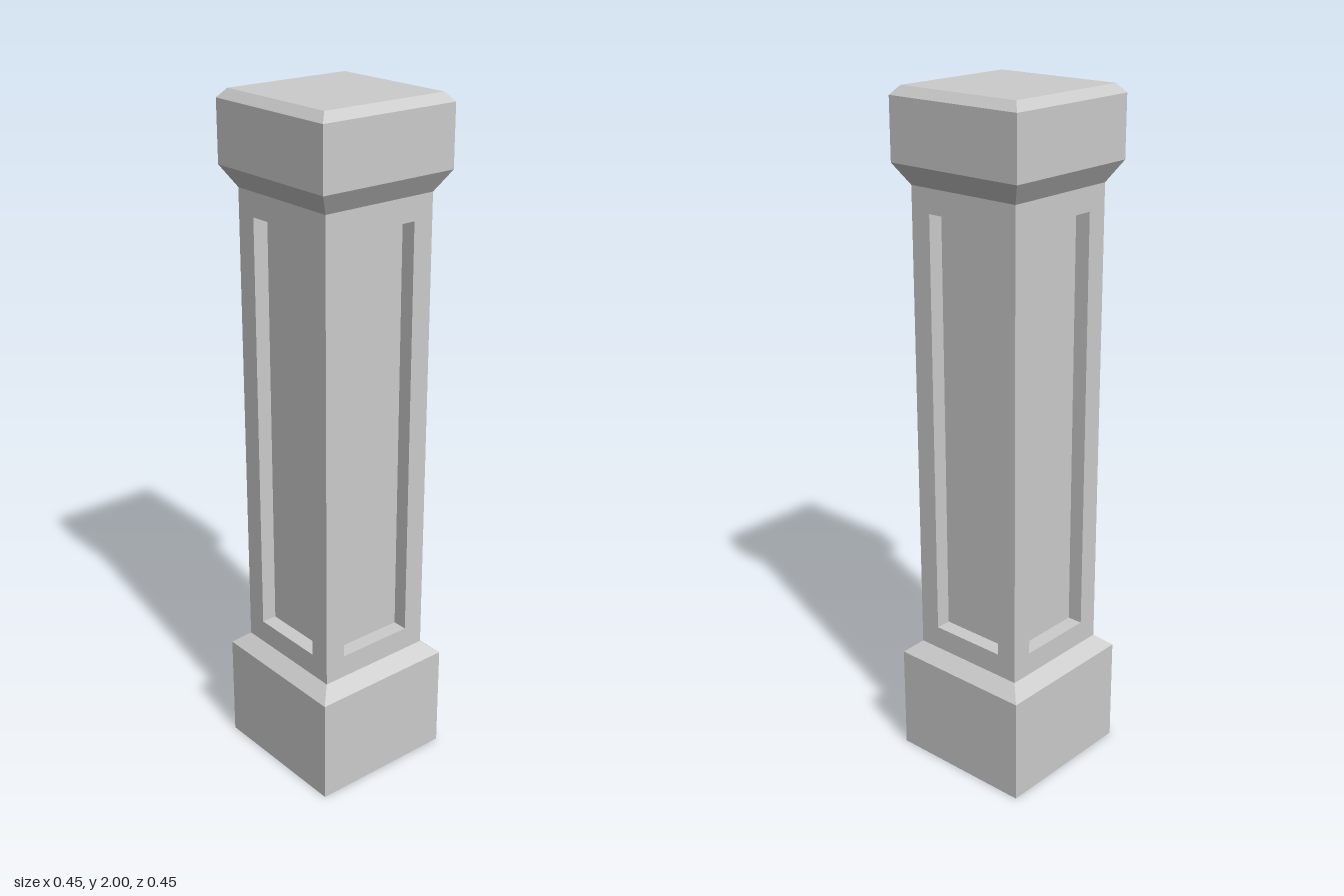
import * as THREE from 'three';

const SHAFT = 0.183;      // half width of the shaft
const BASE_TOP = 0.355;
const CAP_BOTTOM = 1.74;
const RECESS = 0.046;     // depth of the sunken panels

const material = new THREE.MeshStandardMaterial({ color: 0xcccccc, flatShading: true });

function addMesh(parent, name, geometry) {
  const flat = geometry.index ? geometry.toNonIndexed() : geometry;
  flat.computeVertexNormals();
  const mesh = new THREE.Mesh(flat, material);
  mesh.name = name;
  parent.add(mesh);
  return mesh;
}

// Square block from a profile of [half width, height], bottom to top
function squareLathe(profile) {
  const points = profile.map(([half, y]) => new THREE.Vector2(half * Math.SQRT2, y));
  return new THREE.LatheGeometry(points, 4, Math.PI / 4);
}

// Shaft side: frame, recess walls and sunken panel, bridged between rectangles
function panelledSide() {
  const rings = [
    [SHAFT, BASE_TOP, CAP_BOTTOM, SHAFT],
    [0.119, 0.424, 1.671, SHAFT],
    [0.119, 0.424, 1.671, SHAFT - RECESS],
  ];
  const positions = [];
  const indices = [];
  for (const [half, y0, y1, z] of rings) {
    positions.push(-half, y0, z, half, y0, z, half, y1, z, -half, y1, z);
  }
  for (let r = 0; r < rings.length - 1; r++) {
    for (let i = 0; i < 4; i++) {
      const a = r * 4 + i;
      const b = r * 4 + (i + 1) % 4;
      indices.push(a, b, b + 4, a, b + 4, a + 4);
    }
  }
  const last = (rings.length - 1) * 4;
  indices.push(last, last + 1, last + 2, last, last + 2, last + 3);

  const geometry = new THREE.BufferGeometry();
  geometry.setAttribute('position', new THREE.Float32BufferAttribute(positions, 3));
  geometry.setIndex(indices);
  return geometry;
}

export function createModel() {
  const model = new THREE.Group();
  model.name = 'squarePillar';

  // Plinth with a sloped shoulder
  addMesh(model, 'base', squareLathe([
    [0, 0], [0.225, 0], [0.225, 0.318], [SHAFT, BASE_TOP], [0, BASE_TOP],
  ]));

  // Four identical panelled sides
  const shaft = new THREE.Group();
  shaft.name = 'shaft';
  model.add(shaft);
  ['front', 'left', 'back', 'right'].forEach((side, i) => {
    addMesh(shaft, `${side}Panel`, panelledSide()).rotation.y = i * Math.PI / 2;
  });

  // Capital flaring out from the shaft, with a bevelled top
  addMesh(model, 'capital', squareLathe([
    [0, CAP_BOTTOM], [SHAFT, CAP_BOTTOM], [0.22, 1.8], [0.22, 1.975], [0.198, 2], [0, 2],
  ]));

  return model;
}
